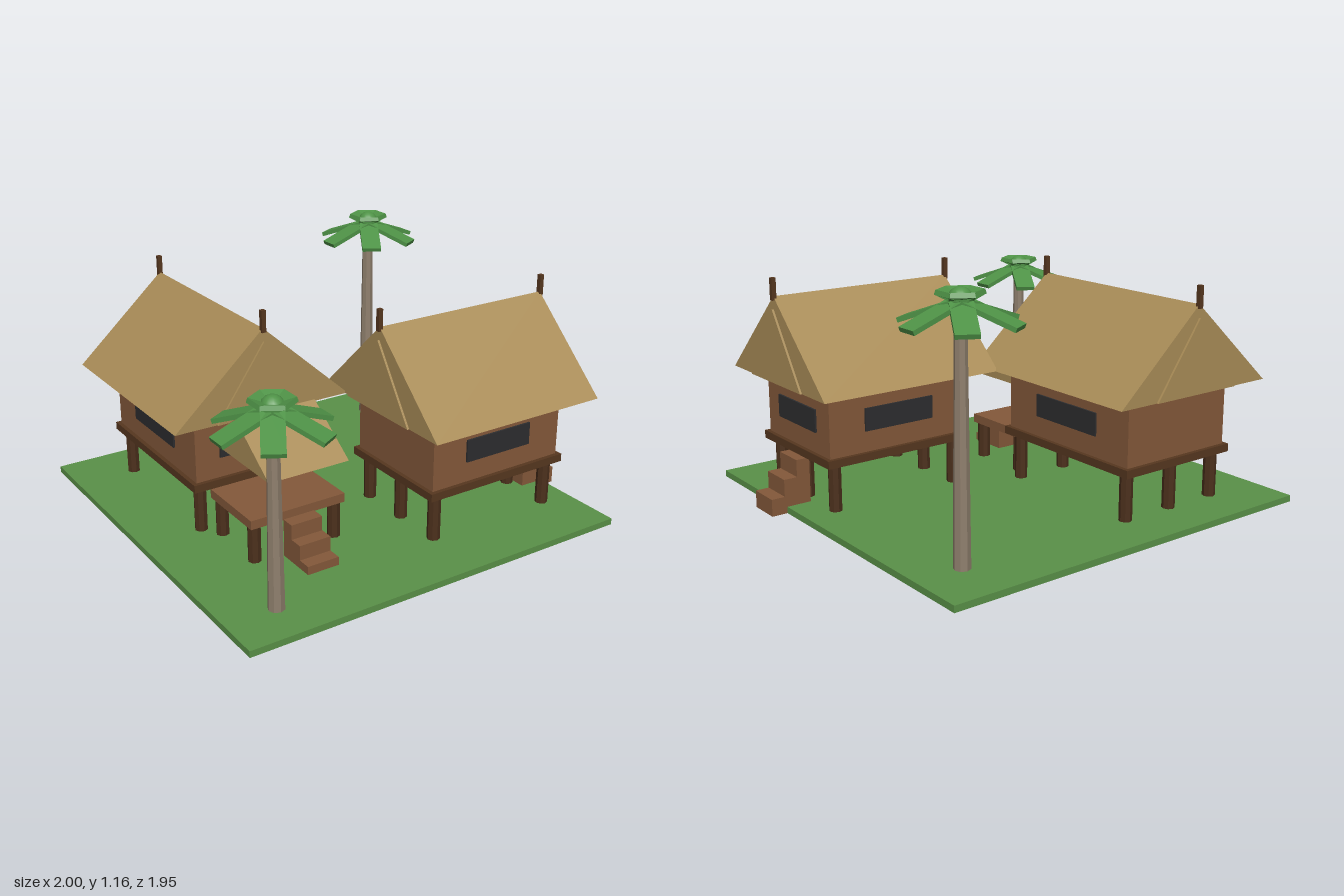
import * as THREE from 'three';

const mat = (name, color) => Object.assign(new THREE.MeshStandardMaterial({ color }), { name });

export function createModel() {
  const M = {
    grass: mat('grass', 0x5a9148),
    wood: mat('wall wood', 0x84593a),
    dark: mat('dark wood', 0x56371f),
    post: mat('post wood', 0x4c301c),
    thatch: mat('thatch', 0xa98c57),
    window: mat('window', 0x2d2d2f),
    bark: mat('bark', 0x8f7f6d),
    leaf: mat('palm leaf', 0x4f9347),
  };
  M.bark.flatShading = M.post.flatShading = true;

  const add = (parent, name, geo, material, x = 0, y = 0, z = 0) => {
    const mesh = new THREE.Mesh(geo, material);
    mesh.name = name;
    mesh.position.set(x, y, z);
    parent.add(mesh);
    return mesh;
  };
  const box = (parent, name, material, w, h, d, x, y, z) =>
    add(parent, name, new THREE.BoxGeometry(w, h, d), material, x, y, z);

  // Triangular prism with its ridge along z, centred on its length
  const prism = (half, height, length) => {
    const s = new THREE.Shape([
      new THREE.Vector2(-half, 0), new THREE.Vector2(half, 0), new THREE.Vector2(0, height),
    ]);
    return new THREE.ExtrudeGeometry(s, { depth: length, bevelEnabled: false }).translate(0, 0, -length / 2);
  };

  const post = (parent, x, z, top) =>
    add(parent, 'post', new THREE.CylinderGeometry(0.03, 0.03, top - 0.005, 8), M.post, x, (top + 0.005) / 2, z);

  // Three solid steps leading down along +z from startZ
  const stairs = (parent, startZ, rise) => {
    const g = new THREE.Group();
    g.name = 'stairs';
    for (let i = 0; i < 3; i++) {
      const h = rise * (3 - i);
      box(g, 'step', M.wood, 0.155, h, 0.065, 0, h / 2, startZ + 0.065 * (i + 0.5));
    }
    parent.add(g);
  };

  // Stilt house with its ridge along z and its entrance end at +z
  const house = (name, w, d, roofHalf, roofLen) => {
    const g = new THREE.Group();
    g.name = name;
    for (const x of [-1, 0, 1])
      for (const z of [-1, 1]) post(g, x * (w / 2 - 0.033), z * (d / 2 - 0.038), 0.25);
    box(g, 'floor', M.dark, w + 0.04, 0.037, d + 0.04, 0, 0.264, 0);
    box(g, 'walls', M.wood, w, 0.31, d, 0, 0.435, 0);

    // Windows on both long sides and the entrance end
    for (const s of [-1, 1])
      box(g, 'sideWindow', M.window, 0.009, 0.106, d / 2, s * (w / 2 + 0.0045), 0.433, 0);
    box(g, 'endWindow', M.window, w * 0.6, 0.106, 0.009, 0, 0.433, d / 2 + 0.0045);

    // Roof, raised gable panels and ridge finials
    add(g, 'roof', prism(roofHalf, 0.395, roofLen), M.thatch, 0, 0.585, 0);
    for (const s of [-1, 1]) {
      add(g, 'gablePanel', prism(roofHalf * 0.54, 0.335, 0.02), M.thatch, 0, 0.586, s * roofLen / 2);
      box(g, 'finial', M.dark, 0.021, 0.1, 0.021, 0, 1.012, s * roofLen / 2);
    }
    return g;
  };

  // Palm with six tilted fronds crossing at the crown
  const palm = (x, z, crownY) => {
    const g = new THREE.Group();
    g.name = 'palmTree';
    g.position.set(x, 0, z);
    const h = crownY - 0.03;
    add(g, 'trunk', new THREE.CylinderGeometry(0.026, 0.037, h, 8), M.bark, 0, 0.02 + h / 2, 0);
    for (let i = 0; i < 6; i++) {
      const arm = new THREE.Group();
      arm.name = 'frondArm';
      arm.rotation.y = i * Math.PI / 3;
      const frond = box(arm, 'frond', M.leaf, 0.348, 0.02, 0.095, 0.08, crownY, 0);
      frond.rotation.z = -0.35;
      g.add(arm);
    }
    add(g, 'crown', new THREE.SphereGeometry(0.05, 16, 10), M.leaf, 0, crownY + 0.03, 0);
    return g;
  };

  const root = new THREE.Group();
  root.name = 'stiltVillage';
  box(root, 'ground', M.grass, 1.915, 0.03, 1.915, -0.033, 0.015, -0.022);

  // Rear house with a covered porch
  const rear = house('rearHouse', 0.595, 0.8, 0.437, 1.0);
  rear.position.set(-0.432, 0, -0.38);
  const porch = new THREE.Group();
  porch.name = 'porch';
  porch.position.set(-0.432, 0, 0.215);
  box(porch, 'porchFloor', M.wood, 0.475, 0.042, 0.36, 0, 0.224, 0);
  for (const x of [-0.203, 0.203]) for (const z of [-0.143, 0.143]) post(porch, x, z, 0.21);
  stairs(porch, 0.18, 0.069);
  add(porch, 'porchRoof', prism(0.27, 0.19, 0.397), M.thatch, 0, 0.45, 0).rotation.y = Math.PI / 2;

  // Front house, turned so its entrance faces +x
  const front = house('frontHouse', 0.557, 0.72, 0.42, 0.916);
  front.position.set(0.45, 0, 0.38);
  front.rotation.y = Math.PI / 2;
  stairs(front, 0.355, 0.08);

  root.add(rear, porch, front, palm(-0.752, 0.735, 0.88), palm(0.702, -0.725, 1.08));
  return root;
}
